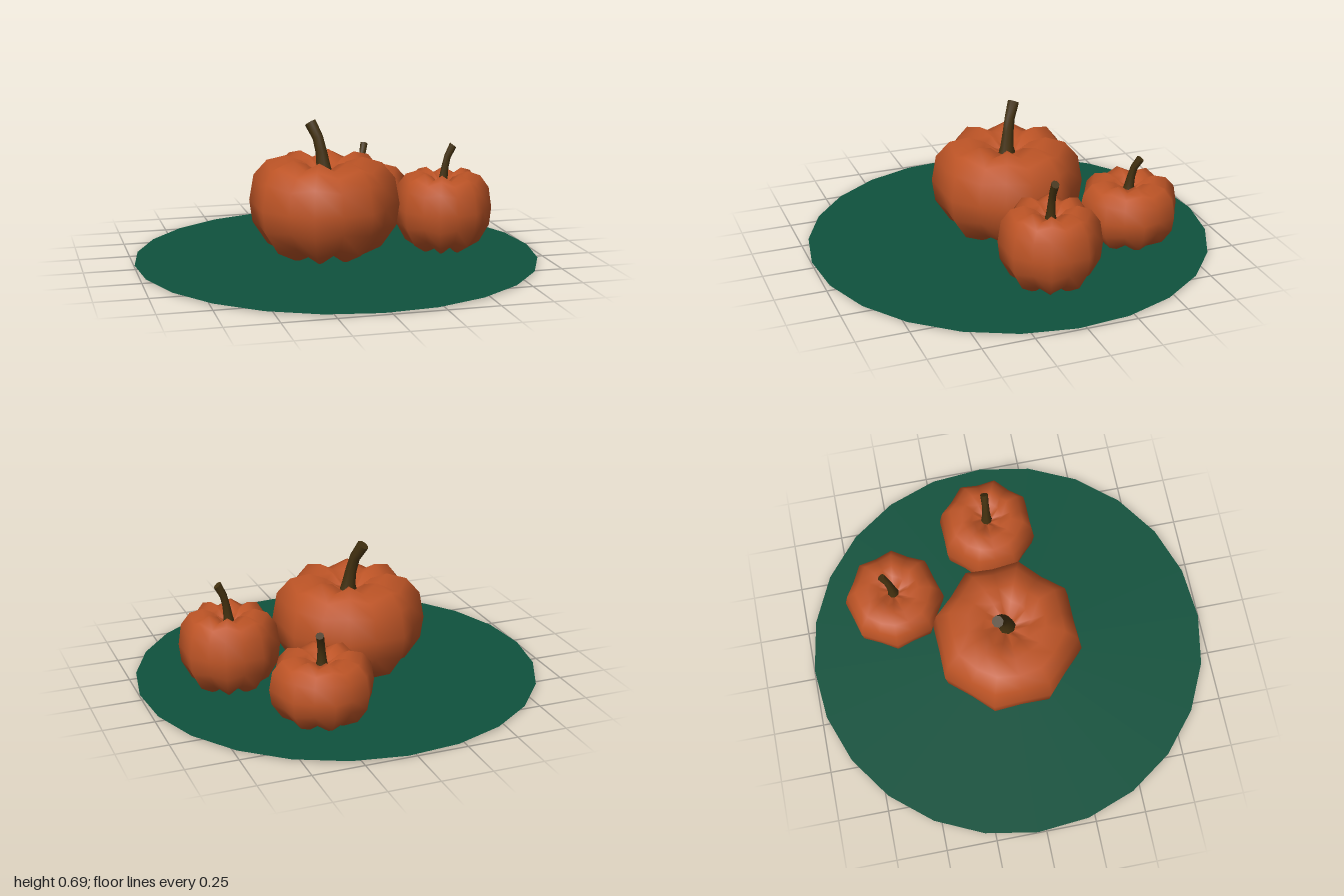
import * as THREE from 'three';
import { mergeVertices } from 'three/addons/utils/BufferGeometryUtils.js';

const rad = THREE.MathUtils.degToRad;

// Pumpkin skin: a 16-sided lathe whose odd columns are pulled in as creases
function skinGeometry() {
  const profile = [
    [0, 0.05], [0.07, 0.03], [0.165, 0], [0.285, 0.06], [0.36, 0.17], [0.375, 0.28],
    [0.352, 0.41], [0.285, 0.485], [0.19, 0.51], [0.11, 0.485], [0.05, 0.435], [0, 0.42],
  ].map(([r, y]) => new THREE.Vector2(r, y));
  const start = rad(24.5);
  const geo = new THREE.LatheGeometry(profile, 16, start);
  const pos = geo.attributes.position;
  for (let i = 0; i < pos.count; i++) {
    const column = Math.floor(i / profile.length);
    const { x: r, y } = profile[i % profile.length];
    if (column % 2 === 0 || r < 0.1) continue;
    // crease: shrink the section towards the middle of the lobe
    const creaseR = THREE.MathUtils.lerp(r, 0.19, 0.17);
    const creaseY = THREE.MathUtils.lerp(y, 0.26, 0.17);
    const phi = start + (column / 16) * Math.PI * 2;
    pos.setXYZ(i, creaseR * Math.sin(phi), creaseY, creaseR * Math.cos(phi));
  }
  geo.deleteAttribute('uv');
  geo.deleteAttribute('normal');
  const welded = mergeVertices(geo, 1e-4);
  welded.computeVertexNormals();
  return welded;
}

// Stem: a short tapering tube that bends towards +x, closed at the tip
function stemGeometry() {
  const sides = 8;
  const rings = [ // x, y, radius, tilt
    [0, 0.41, 0.05, 0], [0.002, 0.455, 0.036, 0.08], [0.015, 0.53, 0.029, 0.2],
    [0.035, 0.6, 0.027, 0.4], [0.078, 0.67, 0.03, 0.6],
  ];
  const verts = [];
  const index = [];
  for (const [x, y, r, tilt] of rings) {
    for (let s = 0; s < sides; s++) {
      const a = (s / sides) * Math.PI * 2;
      const u = r * Math.cos(a);
      verts.push(x + u * Math.cos(tilt), y - u * Math.sin(tilt), r * Math.sin(a));
    }
  }
  for (let k = 0; k < rings.length - 1; k++) {
    for (let s = 0; s < sides; s++) {
      const a = k * sides + s;
      const b = k * sides + ((s + 1) % sides);
      index.push(a, a + sides, b, b, a + sides, b + sides);
    }
  }
  // tip cap with its own vertices so that its edge stays sharp
  const cap = verts.length / 3;
  verts.push(...verts.slice(-sides * 3));
  for (let s = 1; s < sides - 1; s++) index.push(cap, cap + s + 1, cap + s);
  const geo = new THREE.BufferGeometry();
  geo.setAttribute('position', new THREE.Float32BufferAttribute(verts, 3));
  geo.setIndex(index);
  geo.computeVertexNormals();
  return geo;
}

export function createModel() {
  const material = (name, color) => {
    const m = new THREE.MeshStandardMaterial({ color });
    m.name = name;
    return m;
  };
  const orange = material('pumpkin orange', 0xbd5426);
  const brown = material('stem brown', 0x42300f);
  const green = material('ground green', 0x0f523d);
  green.side = THREE.DoubleSide;

  const model = new THREE.Group();
  model.name = 'pumpkinPatch';

  // Ground disc
  const ground = new THREE.Mesh(new THREE.CircleGeometry(1, 24, rad(-2.5)), green);
  ground.name = 'ground';
  ground.rotation.x = -Math.PI / 2;
  ground.position.y = 0.008;
  model.add(ground);

  // Three pumpkins of the same shape, turned and scaled
  const skin = skinGeometry();
  const stem = stemGeometry();
  const pumpkins = [ // name, position, width scale, height scale, stem direction
    ['largePumpkin', [-0.058, 0, -0.015], 1, 1, 225],
    ['mediumPumpkin', [0.555, 0, 0], 0.655, 0.8, 0],
    ['smallPumpkin', [0.275, 0.006, -0.53], 0.665, 0.67, -59],
  ];
  for (const [name, position, width, height, turn] of pumpkins) {
    const pumpkin = new THREE.Group();
    pumpkin.name = name;
    const body = new THREE.Mesh(skin, orange);
    body.name = 'body';
    const stalk = new THREE.Mesh(stem, brown);
    stalk.name = 'stem';
    pumpkin.add(body, stalk);
    pumpkin.position.set(...position);
    pumpkin.scale.set(width, height, width);
    pumpkin.rotation.y = -rad(turn);
    model.add(pumpkin);
  }
  return model;
}
